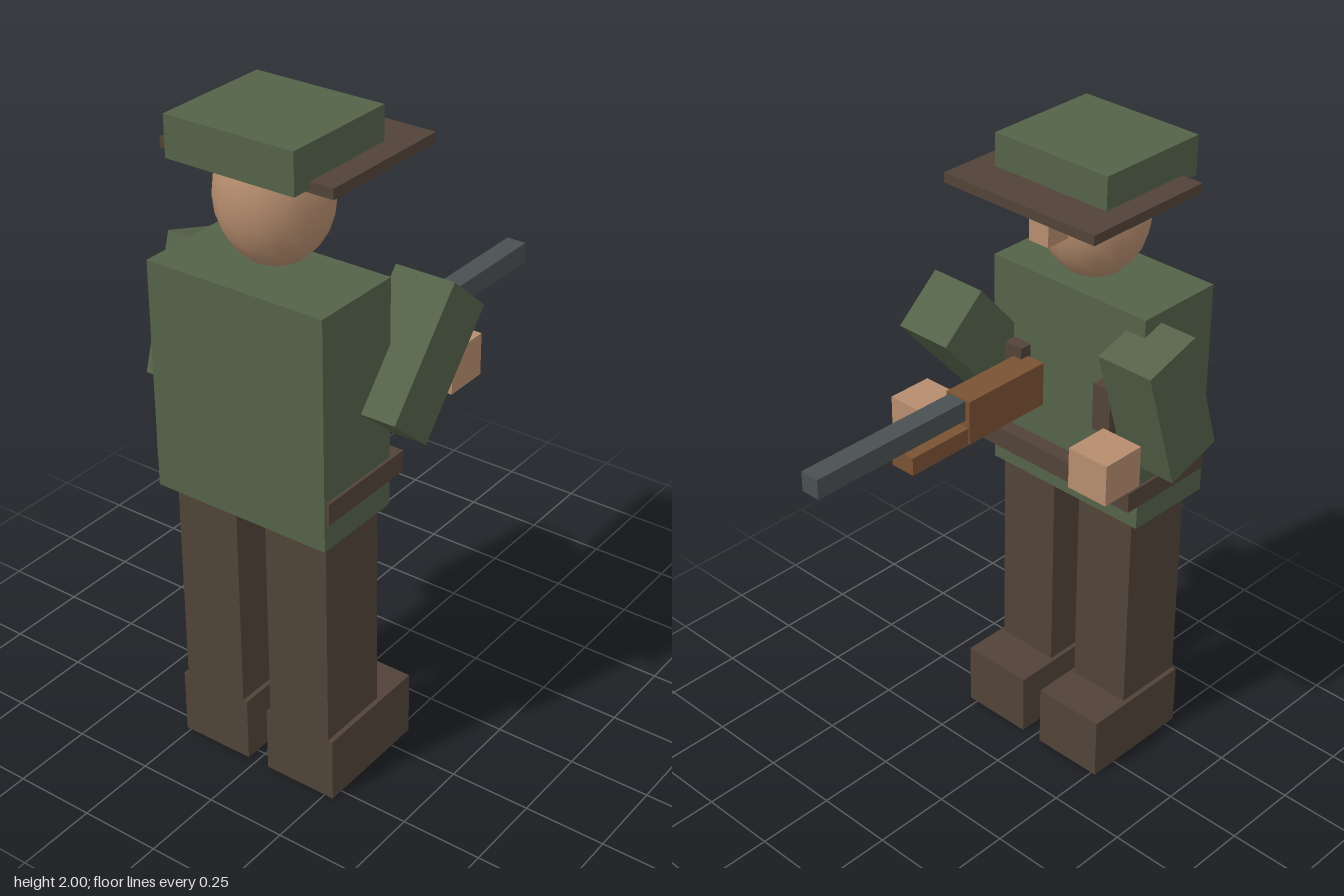
import * as THREE from 'three';

export function createModel() {
  const model = new THREE.Group();
  model.name = 'figure';

  const material = (name, color) => {
    const m = new THREE.MeshStandardMaterial({ color });
    m.name = name;
    return m;
  };
  const green = material('jacketGreen', 0x556249);
  const brown = material('darkBrown', 0x514338);
  const skin = material('skin', 0xb68d6e);
  const wood = material('wood', 0x7a5233);
  const steel = material('steel', 0x4a5052);
  const black = material('eyeBlack', 0x22262b);

  const add = (name, geometry, mat) => {
    const mesh = new THREE.Mesh(geometry, mat);
    mesh.name = name;
    model.add(mesh);
    return mesh;
  };

  // Box given by its extents along each axis
  const block = (name, mat, [x0, x1], [y0, y1], [z0, z1]) => {
    const mesh = add(name, new THREE.BoxGeometry(x1 - x0, y1 - y0, z1 - z0), mat);
    mesh.position.set((x0 + x1) / 2, (y0 + y1) / 2, (z0 + z1) / 2);
    return mesh;
  };

  // Torso and belt
  block('torso', green, [-0.28, 0.293], [0.88, 1.572], [0.29, 0.583]);
  block('belt', brown, [-0.288, 0.303], [0.965, 1.03], [0.24, 0.576]);

  // Legs, boots, chest pouches and eyes, mirrored about the body's centre line
  const centre = 0.007;
  for (const [side, s] of [['left', 1], ['right', -1]]) {
    const span = (a, b) => (s > 0 ? [centre + a, centre + b] : [centre - b, centre - a]);
    block(side + 'Leg', brown, span(0.05, 0.257), [0.2, 0.885], [0.305, 0.54]);
    block(side + 'Boot', brown, span(0.036, 0.272), [0, 0.205], [0.162, 0.541]);
    block(side + 'Pouch', brown, span(0.14, 0.205), [1.18, 1.33], [0.25, 0.3]);
    block(side + 'Eye', black, span(0.05, 0.09), [1.79, 1.818], [0.23, 0.27]);
  }

  // Head and nose
  const head = add('head', new THREE.SphereGeometry(1, 16, 12), skin);
  head.scale.set(0.163, 0.205, 0.163);
  head.position.set(centre, 1.781, 0.398);
  block('nose', skin, [-0.03, 0.042], [1.75, 1.82], [0.165, 0.25]);

  // Hat
  block('hatBrim', brown, [-0.267, 0.285], [1.87, 1.9], [0.082, 0.521]);
  block('hatCrown', green, [-0.196, 0.213], [1.88, 2.0], [0.21, 0.583]);

  // Tilted sleeves and hands
  const sleeve = (name, x, z, tilt) => {
    const mesh = add(name, new THREE.BoxGeometry(0.187, 0.407, 0.193), green);
    mesh.position.set(x, 1.316, z);
    mesh.rotation.x = tilt;
  };
  sleeve('leftSleeve', 0.307, 0.215, -0.715);
  sleeve('rightSleeve', -0.307, 0.327, -0.3);
  block('leftHand', skin, [0.184, 0.325], [1.118, 1.248], [-0.103, 0.041]);
  block('rightHand', skin, [-0.345, -0.205], [1.097, 1.228], [0.072, 0.216]);

  // Rifle
  block('rifleStock', wood, [0.086, 0.178], [1.155, 1.295], [-0.026, 0.28]);
  block('rifleForend', wood, [0.091, 0.174], [1.15, 1.207], [-0.246, 0.05]);
  block('rifleBarrel', steel, [0.102, 0.165], [1.229, 1.292], [-0.585, 0]);

  return model;
}
